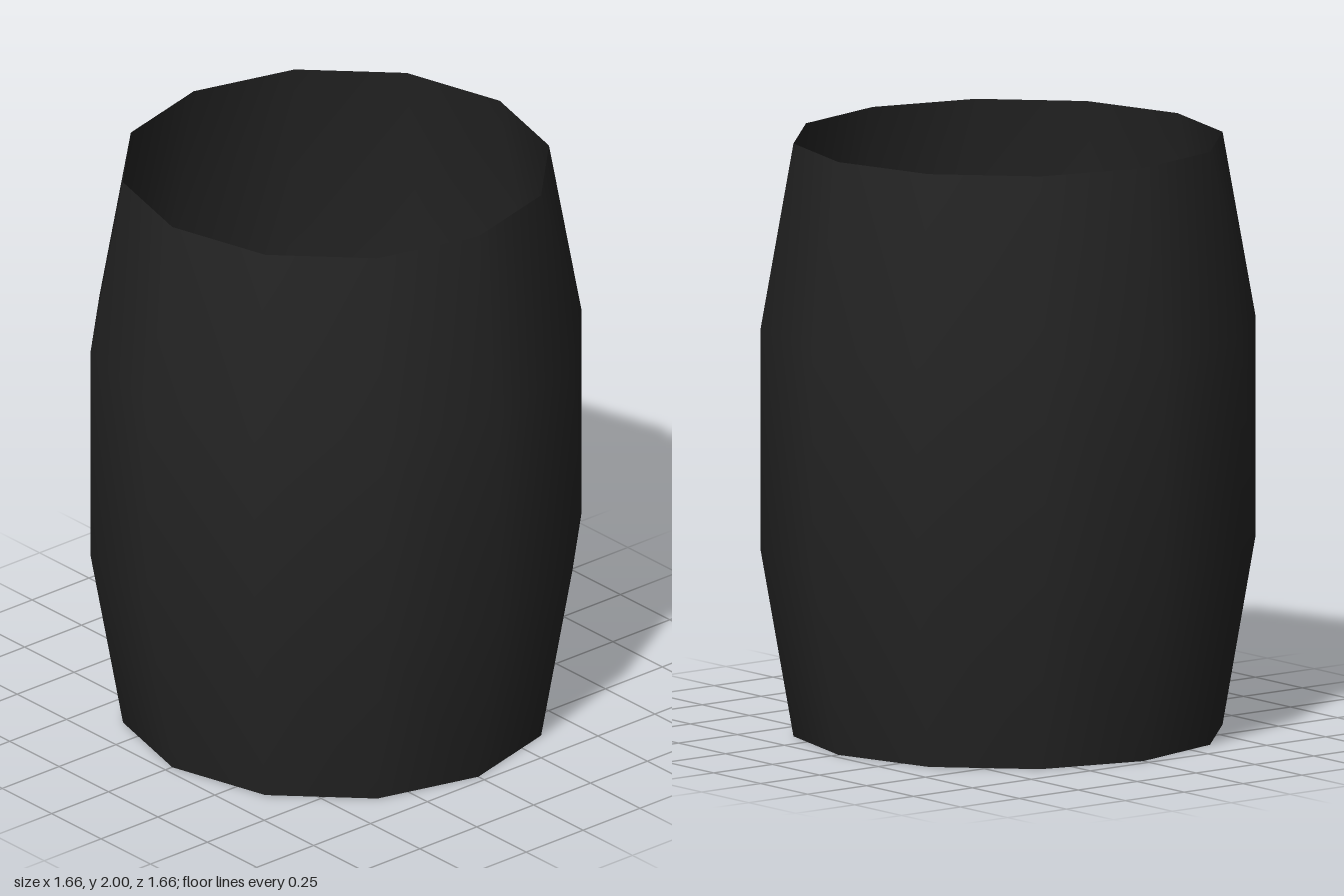
import * as THREE from 'three';

export function createModel() {
  const model = new THREE.Group();
  model.name = 'openBarrel';
  const sides = 12;
  const charcoal = new THREE.MeshStandardMaterial({ color: 0x242424, side: THREE.DoubleSide });
  charcoal.name = 'charcoal';

  // Thin bulging wall, open at the top
  const profile = [[0.72, 0], [0.83, 0.63], [0.83, 1.38], [0.72, 2]]
    .map(([r, y]) => new THREE.Vector2(r, y));
  const wall = new THREE.Mesh(new THREE.LatheGeometry(profile, sides), charcoal);
  wall.name = 'barrelWall';

  // Flat floor closing the bottom
  const floor = new THREE.Mesh(
    new THREE.CircleGeometry(0.72, sides).rotateX(Math.PI / 2), charcoal);
  floor.name = 'barrelFloor';

  model.add(wall, floor);
  return model;
}
